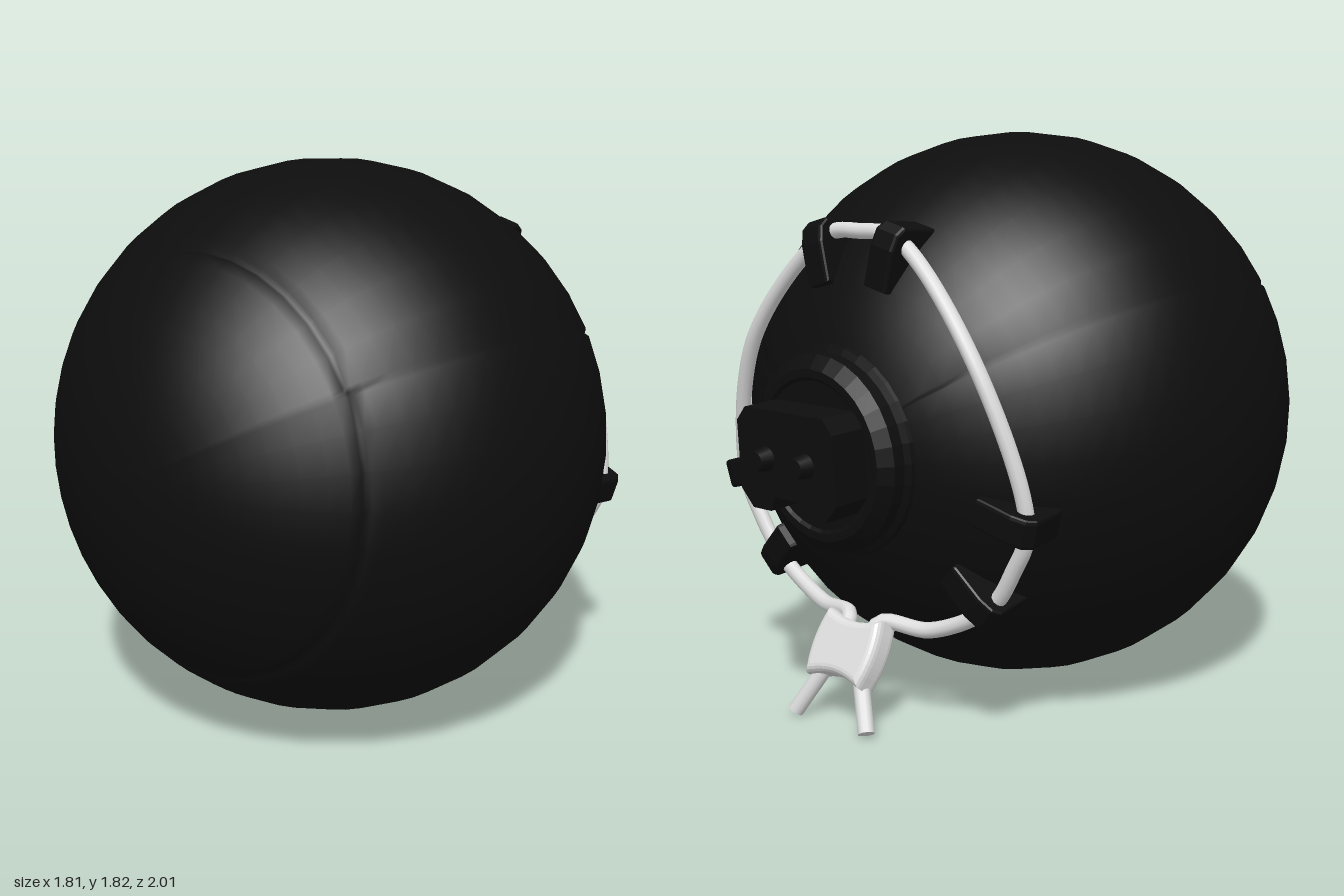
import * as THREE from 'three';

const R = 0.905;
const rad = THREE.MathUtils.degToRad;
const V = (x, y, z) => new THREE.Vector3(x, y, z);
// point on a ring around the z axis
const polar = (deg, r, z) => V(r * Math.cos(rad(deg)), r * Math.sin(rad(deg)), z);

// ball with a pressed ring line at the front and three meridian seams
function bodyGeometry() {
  const ringAt = 47, seams = [30, 150, 270];
  const rings = [], cols = [];
  for (let a = 0; a <= 180; a += 5) {
    if (a === 45) rings.push(44, 46.2, 47, 47.8);
    else rings.push(a);
  }
  for (let a = 0; a < 360; a += 10) {
    if (seams.includes(a)) cols.push(a - 1.2, a, a + 1.2);
    else cols.push(a);
  }
  const pos = [], index = [], n = cols.length;
  rings.forEach((p, i) => cols.forEach((t, j) => {
    let r = R;
    if (p === ringAt) r -= 0.014;
    else if (p > ringAt && seams.includes(t) && p < 155) r -= 0.012;
    pos.push(...polar(t, r * Math.sin(rad(p)), r * Math.cos(rad(p))).toArray());
    if (i < rings.length - 1) {
      const k = (j + 1) % n, a = i * n + j, b = a + n, c = (i + 1) * n + k, d = i * n + k;
      if (i < rings.length - 2) index.push(a, b, c);
      else index.push(a, b, d);
      if (i > 0 && i < rings.length - 2) index.push(a, c, d);
    }
  }));
  const g = new THREE.BufferGeometry();
  g.setAttribute('position', new THREE.Float32BufferAttribute(pos, 3));
  g.setIndex(index);
  g.computeVertexNormals();
  return g;
}

export function createModel() {
  const black = new THREE.MeshStandardMaterial({ color: 0x0d0d0d });
  black.name = 'black casing';
  const white = new THREE.MeshStandardMaterial({ color: 0xdcdcdc });
  white.name = 'white cord';

  const model = new THREE.Group();
  model.name = 'ball';
  // the whole ball leans back and turns slightly
  const ball = new THREE.Group();
  ball.name = 'tiltedBall';
  ball.position.set(0, 0.915, 0.095);
  ball.rotation.set(rad(-3.5), rad(-2), 0);
  model.add(ball);
  const add = (name, geometry, material, parent = ball) => {
    const m = new THREE.Mesh(geometry, material);
    m.name = name;
    parent.add(m);
    return m;
  };

  add('body', bodyGeometry(), black);

  // stepped round plate at the back
  const profile = [[0.34, 0.8], [0.325, 0.855], [0.305, 0.865], [0.305, 0.905], [0.265, 0.938],
    [0.24, 0.938], [0.23, 0.93], [0, 0.93]].map(([r, z]) => new THREE.Vector2(r, z));
  const plateGeo = new THREE.LatheGeometry(profile, 32).toNonIndexed();
  plateGeo.computeVertexNormals();
  add('backPlate', plateGeo, black).rotation.x = -Math.PI / 2;

  // connector block with cut corners and a notch below
  const s = new THREE.Shape([[-0.21, -0.1], [-0.16, -0.155], [-0.08, -0.155], [-0.06, -0.11], [0.06, -0.11],
    [0.08, -0.155], [0.16, -0.155], [0.21, -0.1], [0.21, 0.11], [0.17, 0.155], [-0.17, 0.155], [-0.21, 0.11]]
    .map(([x, y]) => new THREE.Vector2(x, y)));
  const block = new THREE.ExtrudeGeometry(s, { depth: 0.15, bevelEnabled: false });
  add('connectorBlock', block, black).position.z = -1.055;
  for (const side of [-1, 1]) {
    const stud = add('connectorStud', new THREE.CylinderGeometry(0.03, 0.042, 0.06, 16), black);
    stud.rotation.x = -Math.PI / 2;
    stud.position.set(side * 0.087, 0.005, -1.068);
  }

  // three pairs of cord clips, extruded from their side profile (radius, depth)
  const clipShape = new THREE.Shape([[0.45, 0.6], [0.66, 0.54], [0.678, 0.605], [0.692, 0.72], [0.675, 0.745],
    [0.63, 0.76], [0.51, 0.768]].map(([r, z]) => new THREE.Vector2(r, z)));
  const clipGeo = new THREE.ExtrudeGeometry(clipShape, {
    depth: 0.07, bevelThickness: 0.012, bevelSize: 0.008, bevelSegments: 2,
  });
  clipGeo.translate(0, 0, -0.035);
  clipGeo.rotateX(-Math.PI / 2);
  for (const centre of [90, 210, 330]) {
    for (const side of [-14, 14]) {
      const clip = add('cordClip', clipGeo, black);
      clip.rotation.z = rad(centre + side);
    }
  }

  // cord threaded through the clips, both ends meeting in the toggle
  const path = [V(0.05, -0.6, -0.815), V(0.07, -0.555, -0.775), V(0.24, -0.56, -0.73)];
  for (const centre of [-30, 90, 210]) {
    for (const d of [-14, 0, 14]) path.push(polar(centre + d, 0.65, -0.7));
    if (centre < 210) path.push(polar(centre + 60, 0.565, -0.74));
  }
  path.push(V(-0.24, -0.56, -0.73), V(-0.07, -0.555, -0.775), V(-0.05, -0.6, -0.815));
  const curve = new THREE.CatmullRomCurve3(path, false, 'centripetal');
  add('cord', new THREE.TubeGeometry(curve, 160, 0.025, 10), white);

  // waisted toggle
  const t = new THREE.Shape();
  t.moveTo(-0.1, -0.08);
  t.quadraticCurveTo(0, -0.045, 0.1, -0.08);
  t.quadraticCurveTo(0.12, 0, 0.1, 0.08);
  t.quadraticCurveTo(0, 0.045, -0.1, 0.08);
  t.quadraticCurveTo(-0.12, 0, -0.1, -0.08);
  const toggleGeo = new THREE.ExtrudeGeometry(t, {
    depth: 0.04, bevelThickness: 0.028, bevelSize: 0.024, bevelSegments: 4, curveSegments: 10,
  });
  toggleGeo.translate(0, 0, -0.02);
  const toggle = add('toggle', toggleGeo, white);
  toggle.position.set(0, -0.64, -0.845);
  toggle.rotation.x = rad(33);

  // loose cord ends
  for (const side of [-1, 1]) {
    const a = V(side * 0.06, -0.67, -0.865), b = V(side * 0.16, -0.845, -0.945);
    const end = add('cordEnd', new THREE.CylinderGeometry(0.026, 0.026, a.distanceTo(b), 12), white);
    end.position.copy(a).lerp(b, 0.5);
    end.quaternion.setFromUnitVectors(V(0, 1, 0), a.clone().sub(b).normalize());
  }
  return model;
}
